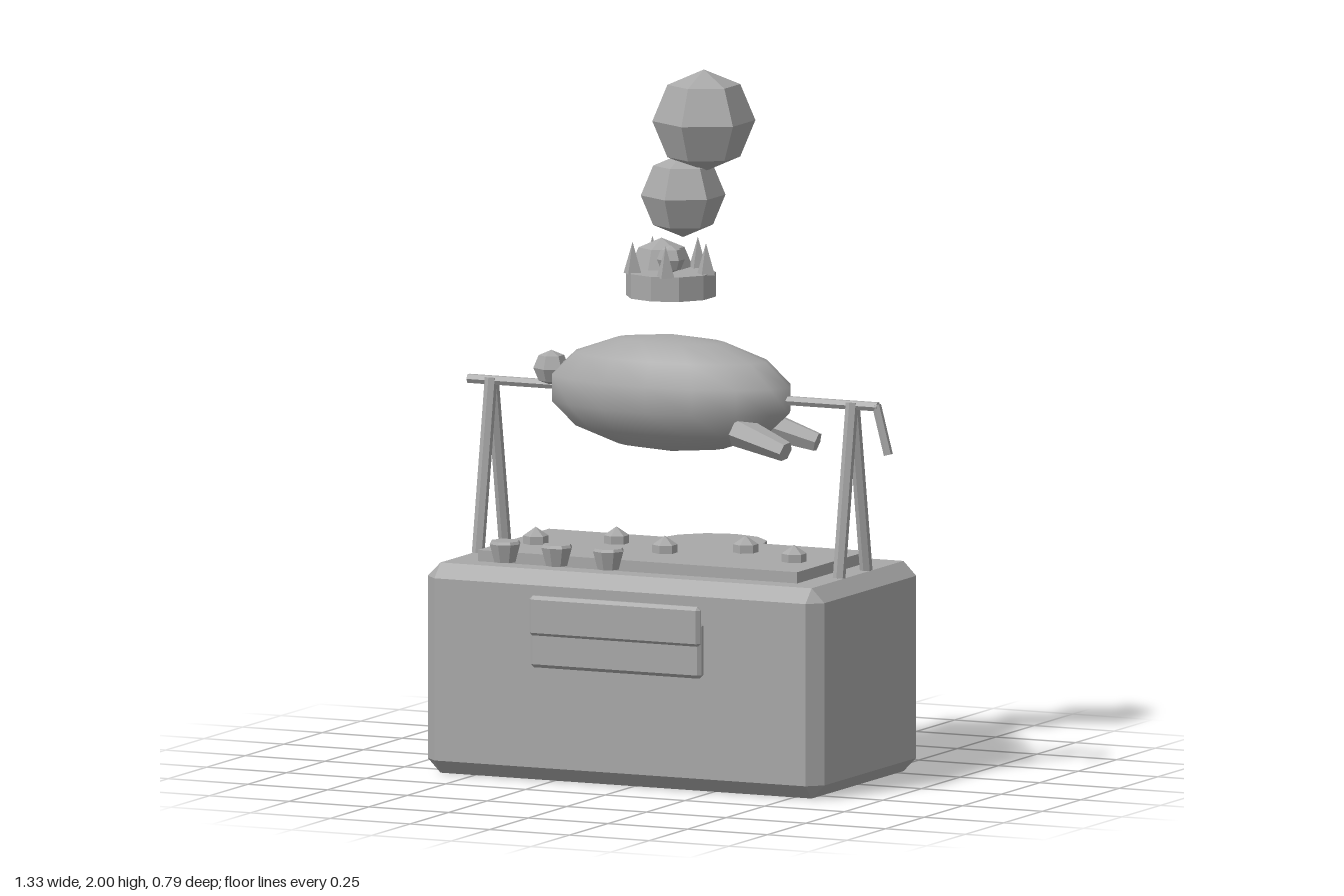
import * as THREE from 'three';
import { ConvexGeometry } from 'three/addons/geometries/ConvexGeometry.js';

const grey = new THREE.MeshStandardMaterial({ color: 0xa8a8a8 });
grey.name = 'grey';

// Facet a geometry
function flat(geometry) {
  const g = geometry.index ? geometry.toNonIndexed() : geometry;
  g.computeVertexNormals();
  return g;
}

// Box with single-cut bevels on every edge
function bevelBox(w, h, d, b) {
  const pts = [];
  for (const x of [-1, 1]) for (const y of [-1, 1]) for (const z of [-1, 1]) {
    for (let k = 0; k < 3; k++) {
      pts.push(new THREE.Vector3(
        x * (w / 2 - (k === 0 ? 0 : b)),
        y * (h / 2 - (k === 1 ? 0 : b)),
        z * (d / 2 - (k === 2 ? 0 : b))));
    }
  }
  return new ConvexGeometry(pts);
}

// Six-sided ball with a corner facing the front
const ball = (r) => flat(new THREE.SphereGeometry(r, 6, 4).rotateY(Math.PI / 2));

export function createModel() {
  const model = new THREE.Group();

  const add = (name, geometry, x = 0, y = 0, z = 0) => {
    const mesh = new THREE.Mesh(geometry, grey);
    mesh.name = name;
    mesh.position.set(x, y, z);
    model.add(mesh);
    return mesh;
  };

  // Tapered bar between two points
  const bar = (name, from, to, r0, r1, sides) => {
    const a = new THREE.Vector3(...from), b = new THREE.Vector3(...to);
    const dir = b.clone().sub(a);
    const mesh = add(name, flat(new THREE.CylinderGeometry(r1, r0, dir.length(), sides)));
    mesh.position.copy(a).add(b).multiplyScalar(0.5);
    mesh.quaternion.setFromUnitVectors(new THREE.Vector3(0, 1, 0), dir.normalize());
    return mesh;
  };

  const cx = -0.027, cz = 0.012;

  // Stove body, cooktop and front door
  add('stoveBody', bevelBox(1.244, 0.6, 0.676, 0.04), cx, 0.3, 0.011);
  add('cooktop', new THREE.BoxGeometry(1.002, 0.034, 0.462), -0.024, 0.615, 0.01);
  add('doorPanel', bevelBox(0.536, 0.16, 0.032, 0.01), cx, 0.41, 0.368);
  add('doorHandle', bevelBox(0.536, 0.115, 0.026, 0.01), cx, 0.478, 0.379);

  // Round shelf sticking out at the back
  add('backShelf', flat(new THREE.CylinderGeometry(0.16, 0.16, 0.016, 12)), -0.025, 0.618, -0.235);

  // Control knobs
  for (const x of [-0.433, -0.271, -0.109]) {
    const profile = [[0, 0], [0.032, 0], [0.046, 0.052], [0.041, 0.06], [0, 0.06]];
    const g = new THREE.LatheGeometry(profile.map((p) => new THREE.Vector2(...p)), 8);
    add('knob', flat(g), x, 0.606, 0.254);
  }

  // Burner studs in a zigzag row
  for (let i = 0; i < 5; i++) {
    const profile = [[0.036, 0], [0.036, 0.024], [0, 0.049]];
    const g = new THREE.LatheGeometry(profile.map((p) => new THREE.Vector2(...p)), 6);
    add('burner', flat(g), -0.433 + i * 0.2025, 0.631, i % 2 ? -0.05 : 0.055);
  }

  // Spit stands, rod and crank
  for (const x of [-0.592, 0.54]) {
    for (const s of [-1, 1]) {
      bar('standLeg', [x, 0.6, cz + s * 0.088], [x, 1.09, cz + s * 0.004], 0.018, 0.018, 6);
    }
  }
  bar('spitRod', [-0.665, 1.083, cz], [0.62, 1.083, cz], 0.014, 0.014, 6);
  bar('crank', [0.615, 1.088, cz], [0.652, 0.948, cz], 0.013, 0.013, 6);

  // Roast with a head ball and two legs
  const roast = new THREE.SphereGeometry(1, 16, 7).scale(0.38, 0.167, 0.178);
  add('roastBody', roast, -0.029, 1.083, cz);
  add('roastHead', ball(0.051), -0.405, 1.13, cz);
  for (const s of [-1, 1]) {
    bar('roastLeg', [0.22, 1.0, cz + s * 0.08], [0.38, 0.953, cz + s * 0.103], 0.046, 0.029, 6);
  }

  // Spiked crown
  add('crownBand', flat(new THREE.CylinderGeometry(0.128, 0.128, 0.07, 10)), -0.03, 1.394, cz);
  add('crownBall', ball(0.04), -0.03, 1.463, cz);
  for (let i = 0; i < 5; i++) {
    const a = (i * Math.PI * 2) / 5;
    add('crownSpike', flat(new THREE.ConeGeometry(0.028, 0.09, 4)),
      -0.03 + Math.cos(a) * 0.11, 1.471, cz + Math.sin(a) * 0.11);
  }

  // Rising smoke puffs
  add('smallPuff', ball(0.092), -0.092, 1.42, -0.055);
  add('middlePuff', ball(0.12), -0.024, 1.638, -0.055);
  add('largePuff', ball(0.146), 0.04, 1.854, -0.057);

  return model;
}
